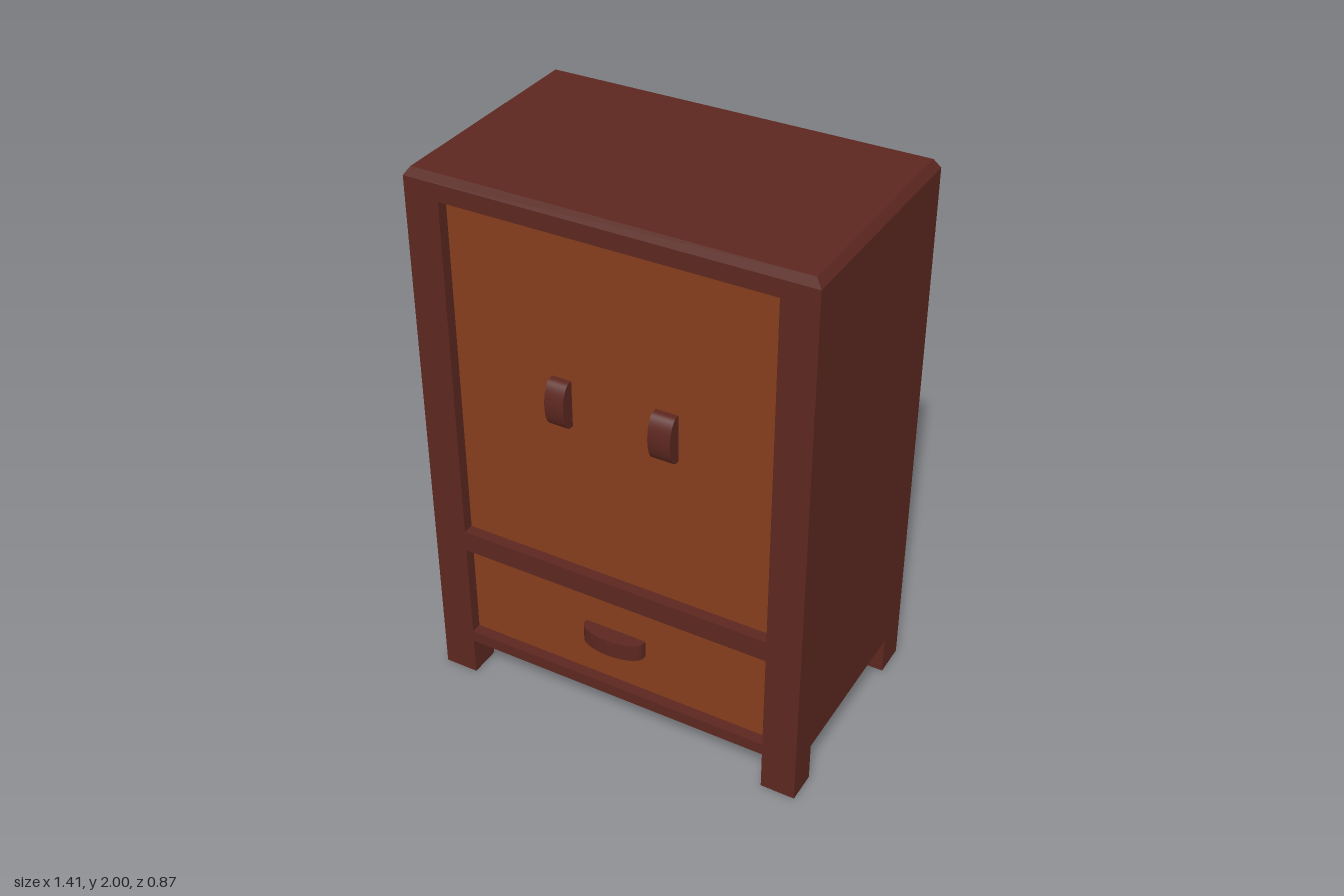
import * as THREE from 'three';

const frameMat = new THREE.MeshStandardMaterial({ color: 0x5c271f });
const panelMat = new THREE.MeshStandardMaterial({ color: 0x863e1c });

const X = 0.705, FRONT = 0.415, BACK = -0.435, PANEL = 0.375;
const FLOOR = 0.145, SHOULDER = 1.97, TOP = 2;

export function createModel() {
  const group = new THREE.Group();
  const add = (name, geometry, material = frameMat) => {
    const mesh = new THREE.Mesh(geometry, material);
    mesh.name = name;
    group.add(mesh);
    return mesh;
  };
  // Box given by its minimum and maximum corners
  const box = (x0, x1, y0, y1, z0, z1) =>
    new THREE.BoxGeometry(x1 - x0, y1 - y0, z1 - z0)
      .translate((x0 + x1) / 2, (y0 + y1) / 2, (z0 + z1) / 2);
  const rectangle = (path, x, y0, y1) =>
    path.moveTo(-x, y0).lineTo(x, y0).lineTo(x, y1).lineTo(-x, y1).closePath();

  // Carcass
  add('carcass', box(-X, X, FLOOR, SHOULDER, BACK, PANEL - 0.01));

  // Front frame with openings for the doors and the drawer
  const openings = { doorPanel: [0.64, 1.91], drawerFront: [0.19, 0.56] };
  const frame = rectangle(new THREE.Shape(), X, FLOOR, SHOULDER);
  for (const [name, [y0, y1]] of Object.entries(openings)) {
    frame.holes.push(rectangle(new THREE.Path(), 0.58, y0, y1));
    add(name, box(-0.58, 0.58, y0, y1, PANEL - 0.01, PANEL), panelMat);
  }
  const frameDepth = FRONT - PANEL + 0.01;
  add('frontFrame', new THREE.ExtrudeGeometry(frame, { depth: frameDepth, bevelEnabled: false })
    .translate(0, 0, FRONT - frameDepth));

  // Top with chamfered edges: the upper corners are drawn inwards
  const top = box(-X, X, SHOULDER, TOP, BACK, FRONT);
  const p = top.attributes.position;
  for (let i = 0; i < p.count; i++) {
    if (p.getY(i) < TOP - 0.001) continue;
    p.setX(i, p.getX(i) - Math.sign(p.getX(i)) * 0.022);
    p.setZ(i, p.getZ(i) - Math.sign(p.getZ(i)) * 0.014);
  }
  top.computeVertexNormals();
  add('top', top);

  // Legs
  for (const side of [-1, 1]) {
    const [x0, x1] = side < 0 ? [-X, -0.58] : [0.58, X];
    add('frontLeg', box(x0, x1, 0, FLOOR, 0.3, FRONT));
    add('backLeg', box(x0, x1, 0, FLOOR, BACK, -0.31));
  }

  // Bow-shaped handles: profile in x-y bulging towards +y, extruded to the width
  const handle = (name, length, width, reach, x, y, upright) => {
    const foot = 0.012, half = length / 2;
    const profile = new THREE.Shape().moveTo(-half, 0).lineTo(half, 0).lineTo(half, foot);
    profile.absellipse(0, foot, half, reach - foot, 0, Math.PI, false);
    profile.closePath();
    const geometry = new THREE.ExtrudeGeometry(profile, { depth: width, bevelEnabled: false, curveSegments: 16 })
      .translate(0, 0, -width / 2)
      .rotateX(Math.PI / 2);
    if (upright) geometry.rotateZ(Math.PI / 2);
    add(name, geometry).position.set(x, y, PANEL);
  };
  handle('rightDoorHandle', 0.17, 0.07, 0.053, -0.183, 1.29, true);
  handle('leftDoorHandle', 0.17, 0.08, 0.053, 0.196, 1.288, true);
  handle('drawerHandle', 0.232, 0.065, 0.06, -0.006, 0.376, false);

  return group;
}
